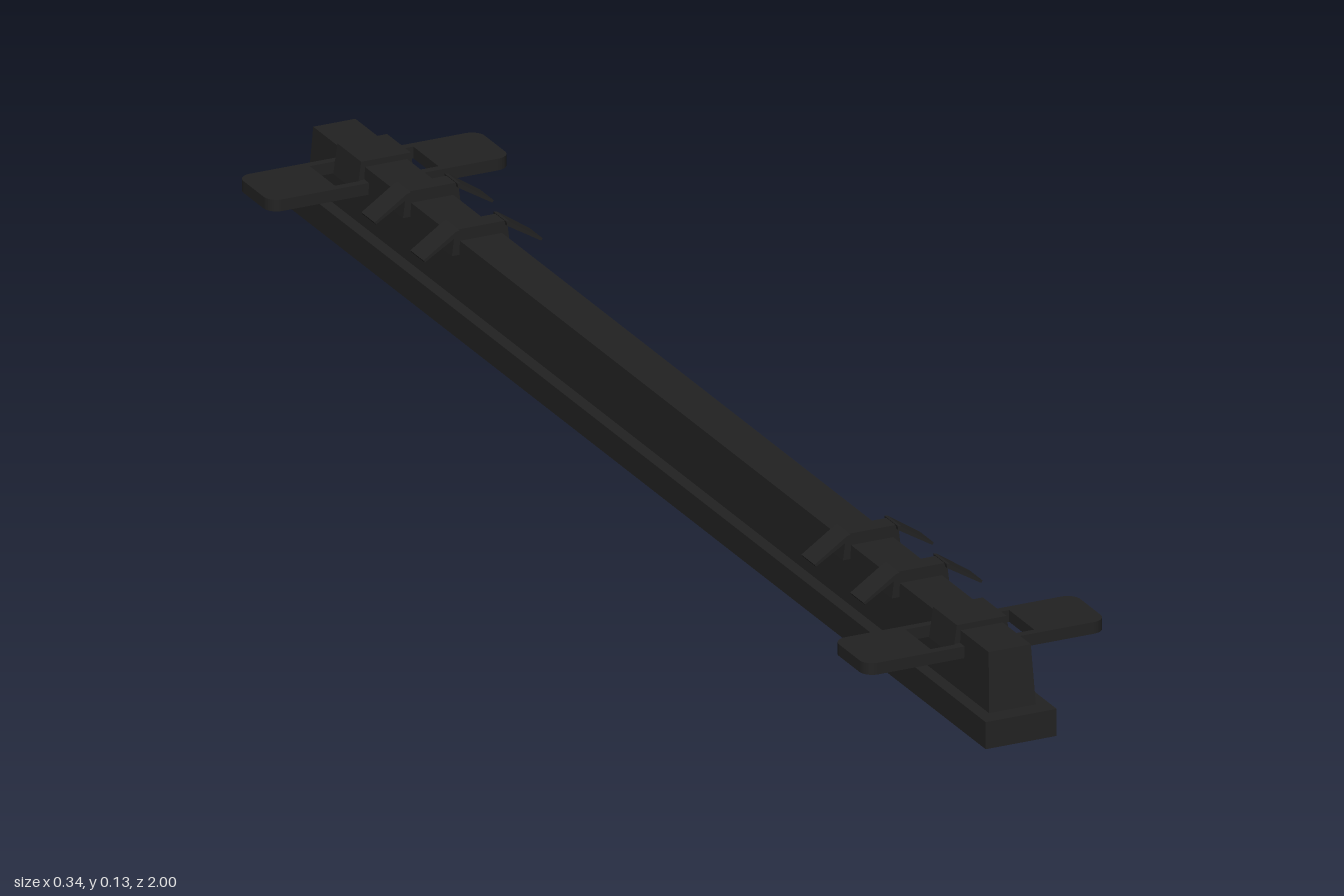
import * as THREE from 'three';

const material = new THREE.MeshStandardMaterial({ color: 0x222222, side: THREE.DoubleSide, flatShading: true });

function add(parent, name, geometry) {
  const mesh = new THREE.Mesh(geometry, material);
  mesh.name = name;
  parent.add(mesh);
  return mesh;
}

// Extrudes an outline in x and y, centred along z.
function extrude(points, depth) {
  const shape = new THREE.Shape(points.map(([x, y]) => new THREE.Vector2(x, y)));
  return new THREE.ExtrudeGeometry(shape, { depth, bevelEnabled: false }).translate(0, 0, -depth / 2);
}

// Flat rounded plate with a slot on each side of the beam.
function platePiece() {
  const w = 0.17, d = 0.047, r = 0.018;
  const shape = new THREE.Shape();
  shape.moveTo(-w + r, -d);
  shape.lineTo(w - r, -d);
  shape.absarc(w - r, -d + r, r, -Math.PI / 2, 0, false);
  shape.absarc(w - r, d - r, r, 0, Math.PI / 2, false);
  shape.absarc(-w + r, d - r, r, Math.PI / 2, Math.PI, false);
  shape.absarc(-w + r, -d + r, r, Math.PI, Math.PI * 1.5, false);
  for (const s of [-1, 1]) {
    const hole = new THREE.Path();
    hole.moveTo(s * 0.038, -0.036);
    hole.lineTo(s * 0.073, -0.036);
    hole.lineTo(s * 0.073, 0.036);
    hole.lineTo(s * 0.038, 0.036);
    hole.closePath();
    shape.holes.push(hole);
  }
  return new THREE.ExtrudeGeometry(shape, { depth: 0.016, bevelEnabled: false, curveSegments: 5 })
    .rotateX(-Math.PI / 2).translate(0, 0.084, 0);
}

export function createModel() {
  const model = new THREE.Group();
  model.name = 'rail';

  // Base strip
  add(model, 'base', new THREE.BoxGeometry(0.1, 0.037, 2).translate(0, 0.0185, 0));

  // Beam, tapering slightly towards its top
  const beam = new THREE.BoxGeometry(0.066, 0.08, 1.95).translate(0, 0.077, 0);
  const pos = beam.attributes.position;
  for (let i = 0; i < pos.count; i++) {
    if (pos.getY(i) > 0.1) pos.setXYZ(i, pos.getX(i) * 0.9, pos.getY(i), pos.getZ(i) * 0.992);
  }
  beam.computeVertexNormals();
  add(model, 'beam', beam);

  for (const end of [-1, 1]) {
    // Side plates and the saddle that holds them
    const plates = new THREE.Group();
    plates.name = 'sidePlates';
    plates.position.z = end * 0.853;
    add(plates, 'plate', platePiece());
    add(plates, 'saddle', extrude([[-0.041, 0.084], [0.041, 0.084], [0.035, 0.125], [-0.035, 0.125]], 0.068));
    model.add(plates);

    // Spring clips with sloping wings
    for (const z of [0.56, 0.7]) {
      const clip = new THREE.Group();
      clip.name = 'clip';
      clip.position.z = end * z;
      add(clip, 'clipBand', extrude([[-0.041, 0.098], [0.041, 0.098], [0.037, 0.13], [0.033, 0.133],
        [-0.033, 0.133], [-0.037, 0.13]], 0.026));
      for (const s of [-1, 1]) {
        add(clip, 'clipWing', extrude([[s * 0.033, 0.134], [s * 0.038, 0.133], [s * 0.084, 0.102],
          [s * 0.082, 0.099], [s * 0.034, 0.128]], 0.038));
      }
      model.add(clip);
    }
  }
  return model;
}
